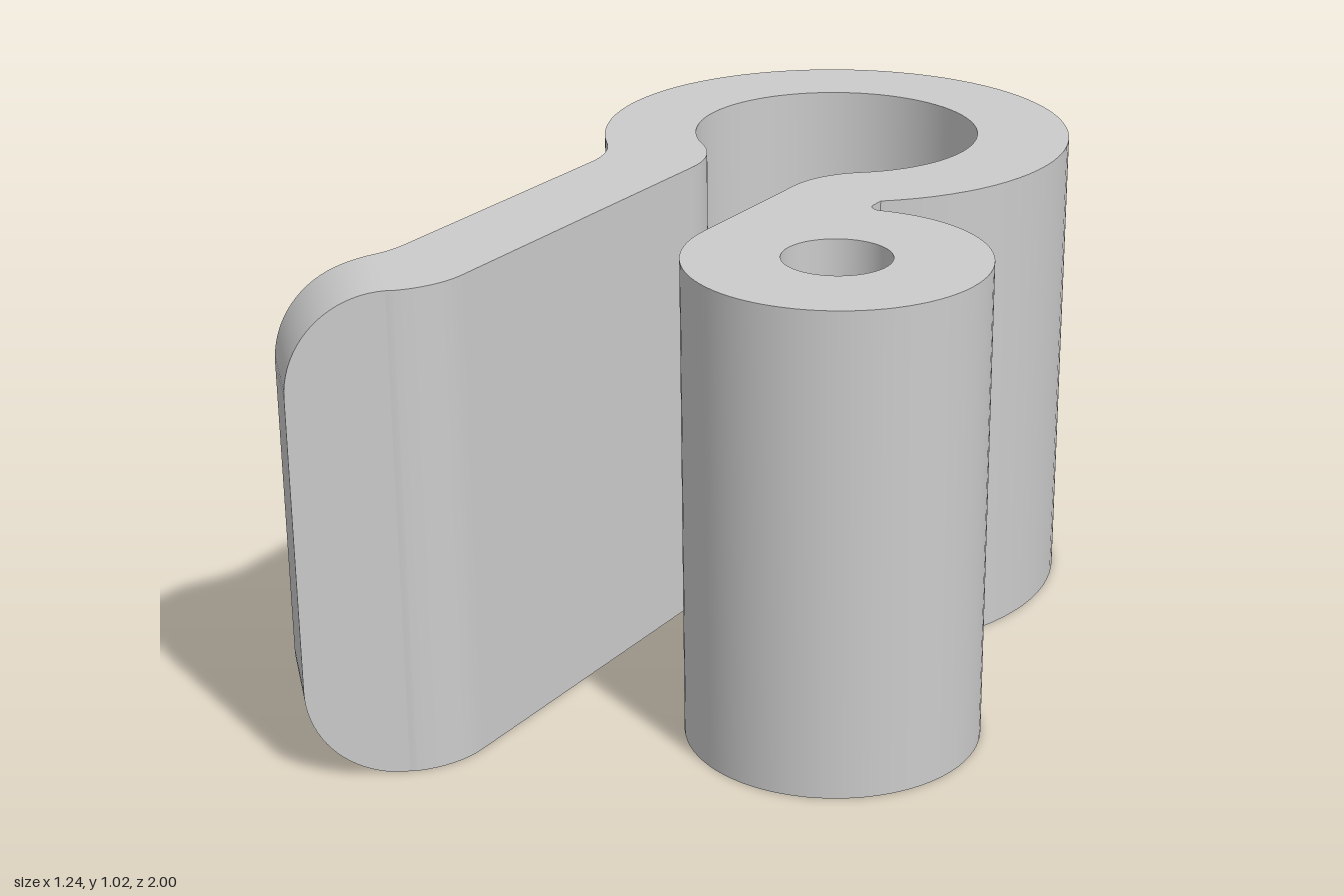
import * as THREE from 'three';
import { toCreasedNormals } from 'three/addons/utils/BufferGeometryUtils.js';

const H = 1.02;        // height of the clip
const R = 0.2;         // bend and corner radius
const D = Math.SQRT1_2;

// Directions in plan (x, z): along the bent tip, and across its thickness
const along = new THREE.Vector2(-D, D);
const across = new THREE.Vector2(D, D);
const tipCorner = new THREE.Vector2(-0.45, 1.0);
const bend = new THREE.Vector2(-0.645, 0.629);

// Inner and outer plan points of the tip, a distance t back from its end
function tipInner(t) {
  return tipCorner.clone().addScaledVector(along, -t);
}
function tipOuter(t) {
  const s = tipCorner.dot(along) - t;
  const back = Math.max(0, bend.dot(along) - s);   // distance into the bend
  const n = bend.dot(across) + Math.sqrt(R * R - back * back);
  return along.clone().multiplyScalar(s).addScaledVector(across, n);
}

// Plan outline: ring, straight leg, and hinge barrel with its bore
function bodyGeometry() {
  const start = tipOuter(R);
  const startAngle = THREE.MathUtils.radToDeg(Math.atan2(start.y - bend.y, start.x - bend.x));
  const arcs = [                                   // x, z, radius, from, to (degrees)
    [bend.x, bend.y, R, startAngle, 0],            // bend, outer side
    [-0.645, -0.018, R, 0, -41.7],                 // leg to ring, outer side
    [-0.115, -0.49, 0.51, 138.3, 409.7],           // ring outside
    [0.24, -0.071, 0.025, 180, 76.9],              // notch beside the barrel
    [0.315, 0.25, 0.305, -103.1, 180],             // barrel
    [0.21, -0.097, R, 180, 230.4],                 // barrel to ring, inner side
    [-0.115, -0.49, 0.31, 50.4, -230.4],           // ring inside
    [-0.44, -0.097, R, -50.4, 0],                  // ring to leg, inner side
    [-0.44, 0.71, R, 0, 45],                       // bend, inner side
  ];
  const shape = new THREE.Shape();
  shape.moveTo(start.x, start.y);
  const rad = THREE.MathUtils.degToRad;
  for (const [x, z, r, a, b] of arcs) shape.absarc(x, z, r, rad(a), rad(b), b < a);
  const end = tipInner(R);
  shape.lineTo(end.x, end.y);
  shape.closePath();

  const bore = new THREE.Path();
  bore.absarc(0.315, 0.25, 0.11, 0, Math.PI * 2, true);
  shape.holes.push(bore);

  const geo = new THREE.ExtrudeGeometry(shape, { depth: H, bevelEnabled: false, curveSegments: 32 });
  return geo.rotateX(Math.PI / 2).translate(0, H, 0);
}

// Tip: four-cornered sections that shrink in height along a quarter circle
function tipGeometry() {
  const steps = 20, rings = [], pos = [];
  for (let i = 0; i <= steps; i++) {
    const a = (i / steps) * Math.PI / 2;
    const t = R * (1 - Math.sin(a)), drop = R * (1 - Math.cos(a));
    const o = tipOuter(t), n = tipInner(t);
    rings.push([
      [o.x, H - drop, o.y], [n.x, H - drop, n.y],
      [n.x, drop, n.y], [o.x, drop, o.y],
    ]);
  }
  const quad = (a, b, c, d) => pos.push(...a, ...b, ...c, ...a, ...c, ...d);
  for (let i = 0; i < steps; i++) {
    for (let k = 0; k < 4; k++) {
      const m = (k + 1) % 4;
      quad(rings[i][k], rings[i + 1][k], rings[i + 1][m], rings[i][m]);
    }
  }
  quad(...rings[steps].slice().reverse());         // end face
  const geo = new THREE.BufferGeometry();
  geo.setAttribute('position', new THREE.Float32BufferAttribute(pos, 3));
  return geo;
}

export function createModel() {
  const group = new THREE.Group();
  group.name = 'springClip';
  const material = new THREE.MeshStandardMaterial({ color: 0xcccccc });
  const add = (name, geo) => {
    const mesh = new THREE.Mesh(toCreasedNormals(geo, 0.5), material);
    mesh.name = name;
    group.add(mesh);
  };
  add('clipBody', bodyGeometry());
  add('roundedTip', tipGeometry());
  return group;
}
